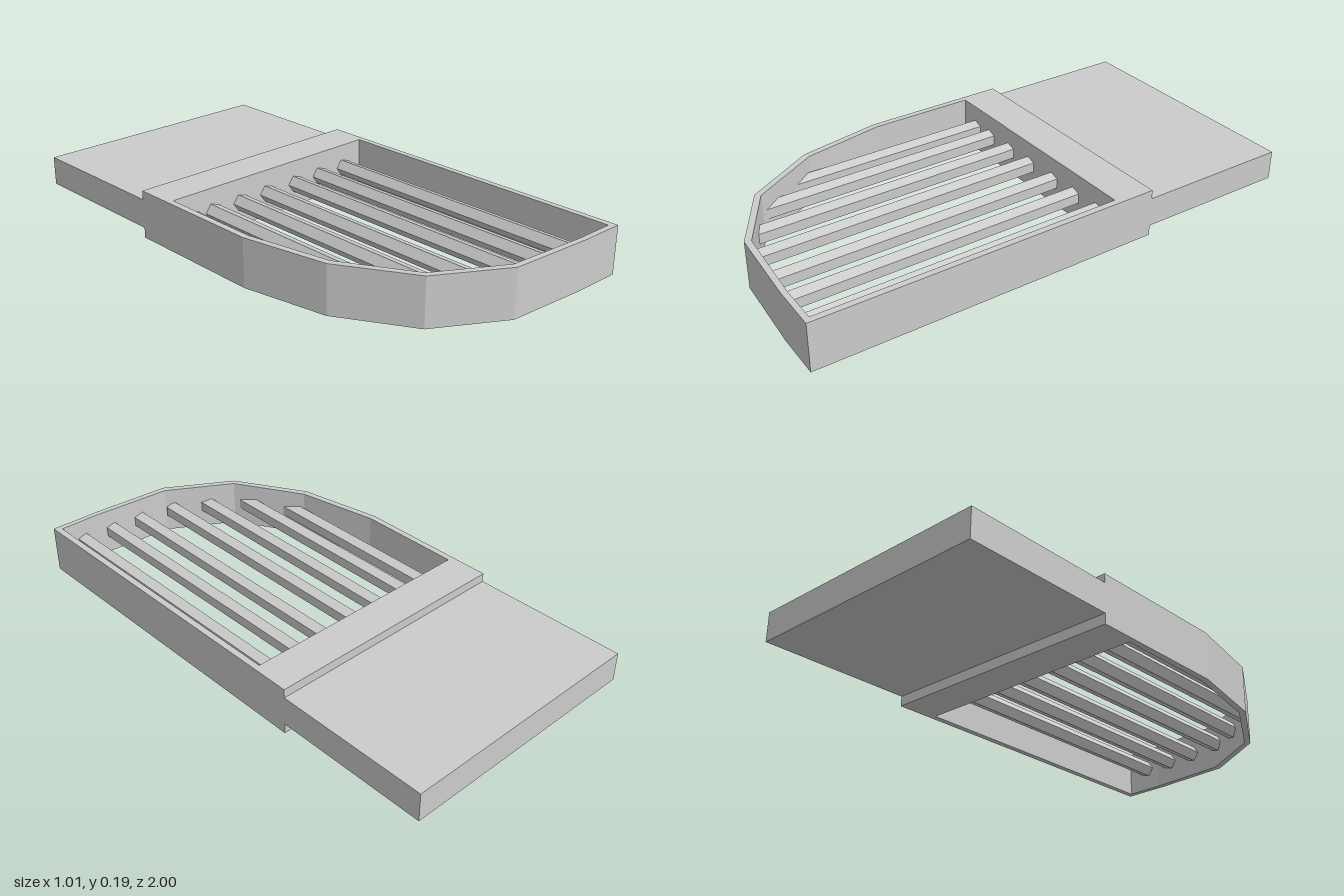
import * as THREE from 'three';

const HEIGHT = 0.19;
const BAR_RADIUS = 0.034;

// Plan outlines as [x, z]
const curvedEdge = [[-0.505, 0.19], [-0.44, 0.53], [-0.275, 0.81], [-0.015, 0.968], [0.32, 0.995], [0.505, 1]];
const outer = [[0.505, -0.385], [-0.505, -0.385], ...curvedEdge];
const inner = [[0.48, -0.23], [-0.48, -0.23], [-0.48, 0.19], [-0.416, 0.52], [-0.258, 0.792], [-0.006, 0.944], [0.32, 0.973], [0.48, 0.977]];

// z of the middle of the curved wall at a given x
function wallZ(x) {
  for (let i = 0; i < curvedEdge.length - 1; i++) {
    const [x0, z0] = curvedEdge[i];
    const [x1, z1] = curvedEdge[i + 1];
    if (x <= x1) return z0 + ((x - x0) / (x1 - x0)) * (z1 - z0) - 0.012;
  }
  return 0.98;
}

// Five-sided bar whose front end is trimmed to meet the wall
function barGeometry(cx, maxZ) {
  const pts = [];
  for (let i = 0; i < 5; i++) {
    const a = Math.PI + (i * 2 * Math.PI) / 5;
    pts.push(new THREE.Vector2(cx + BAR_RADIUS * Math.cos(a), HEIGHT / 2 + BAR_RADIUS * Math.sin(a)));
  }
  const geo = new THREE.ExtrudeGeometry(new THREE.Shape(pts), { depth: 1, bevelEnabled: false });
  const pos = geo.attributes.position;
  for (let i = 0; i < pos.count; i++) {
    pos.setZ(i, pos.getZ(i) > 0.5 ? Math.min(maxZ, wallZ(pos.getX(i))) : -0.25);
  }
  geo.computeVertexNormals();
  return geo;
}

export function createModel() {
  const group = new THREE.Group();
  const material = new THREE.MeshStandardMaterial({ color: 0xcccccc, flatShading: true });
  const add = (name, geo, parent = group) => {
    const mesh = new THREE.Mesh(geo, material);
    mesh.name = name;
    parent.add(mesh);
    return mesh;
  };

  // Frame: thin walls around the opening and a thick back rail
  const toPoints = (list) => list.map(([x, z]) => new THREE.Vector2(x, -z));
  const shape = new THREE.Shape(toPoints(outer));
  shape.holes.push(new THREE.Path(toPoints(inner)));
  const frame = new THREE.ExtrudeGeometry(shape, { depth: HEIGHT, bevelEnabled: false });
  frame.rotateX(-Math.PI / 2);
  add('frame', frame);

  // Thinner slab extending behind the frame
  const slab = add('backSlab', new THREE.BoxGeometry(1.01, 0.115, 0.63));
  slab.position.set(0, 0.0975, -0.685);

  // Row of bars across the opening
  const bars = new THREE.Group();
  bars.name = 'bars';
  [-0.397, -0.298, -0.164, -0.03, 0.119, 0.251, 0.386].forEach((x, i) => {
    add('bar' + (i + 1), barGeometry(x, i === 3 ? 0.933 : 0.985), bars);
  });
  group.add(bars);

  return group;
}
